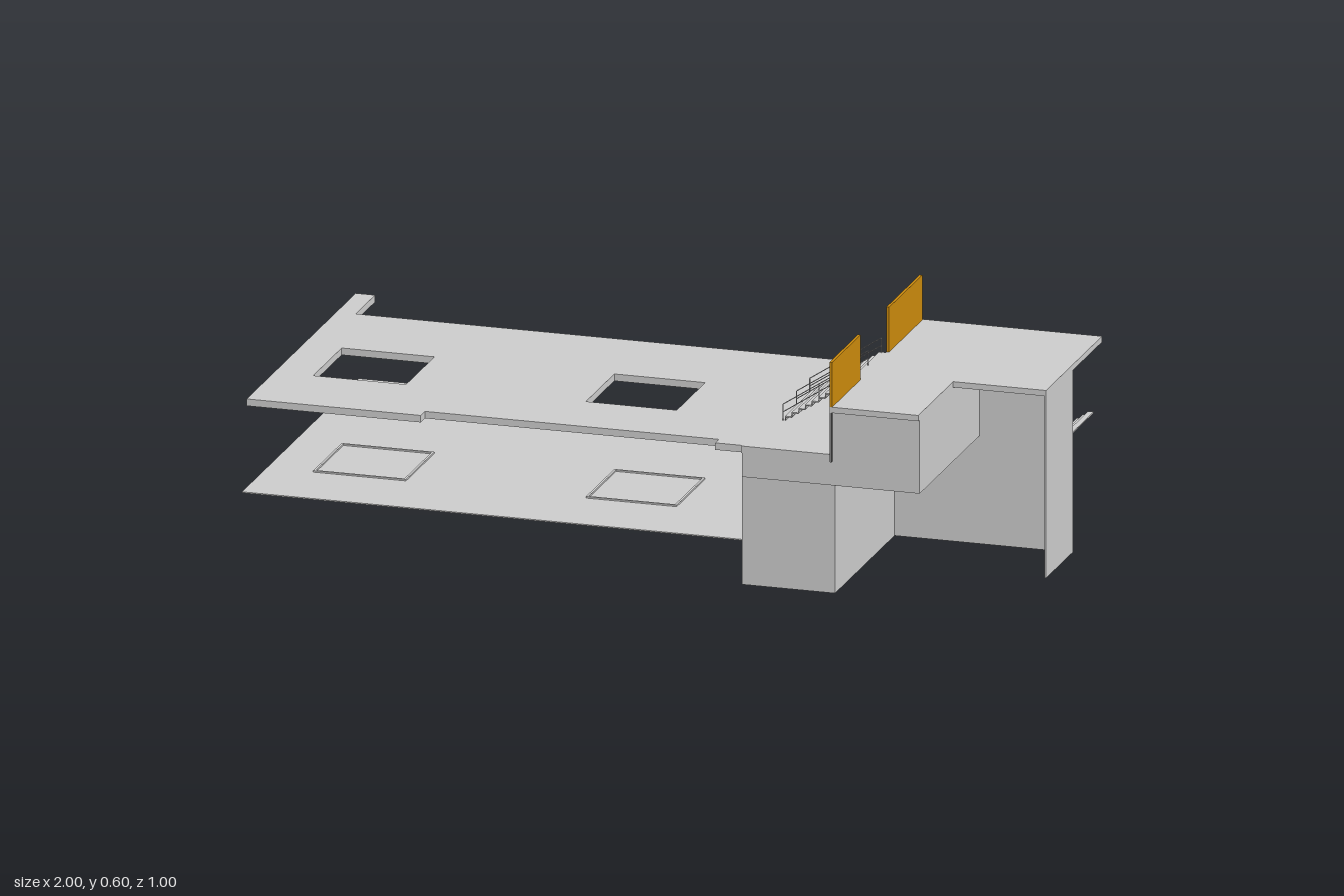
import * as THREE from 'three';

export function createModel() {
  const model = new THREE.Group();
  const mat = (name, color) => {
    const m = new THREE.MeshStandardMaterial({ color, side: THREE.DoubleSide });
    m.name = name;
    return m;
  };
  const concrete = mat('light grey', 0xcccccc);
  const darkGrey = mat('dark grey', 0x828282);
  const ochre = mat('ochre', 0xcb8a0c);

  const add = (name, geometry, material, parent = model) => {
    const mesh = new THREE.Mesh(geometry, material);
    mesh.name = name;
    parent.add(mesh);
    return mesh;
  };
  // Box given by its lower and upper limits on each axis
  const box = (name, [x0, x1], [y0, y1], [z0, z1], material = concrete, parent = model) => {
    const mesh = add(name, new THREE.BoxGeometry(x1 - x0, y1 - y0, z1 - z0), material, parent);
    mesh.position.set((x0 + x1) / 2, (y0 + y1) / 2, (z0 + z1) / 2);
    return mesh;
  };
  // Horizontal slab from a plan outline of [x, z] corners
  const slab = (name, outline, y0, y1, holes = []) => {
    const pts = (list) => list.map(([x, z]) => new THREE.Vector2(x, -z));
    const shape = new THREE.Shape(pts(outline));
    for (const h of holes) shape.holes.push(new THREE.Path(pts(h)));
    const geo = new THREE.ExtrudeGeometry(shape, { depth: y1 - y0, bevelEnabled: false });
    geo.rotateX(-Math.PI / 2).translate(0, y0, 0);
    return add(name, geo, concrete);
  };
  const rect = (x0, x1, z0, z1) => [[x0, z0], [x1, z0], [x1, z1], [x0, z1]];

  // Floors
  const wells = [[-0.88, -0.64, 0.025, 0.26], [-0.175, 0.06, 0.025, 0.26]];
  slab('lowerFloor', [
    [-1, -0.5], [-0.64, -0.5], [-0.64, -0.3], [-0.43, -0.3], [-0.43, -0.25], [0.31, -0.25],
    [0.31, -0.3], [0.55, -0.3], [0.55, -0.27], [0.76, -0.27], [0.76, -0.01], [0.54, -0.01],
    [0.54, 0.465], [-1, 0.465],
  ], 0.107, 0.11);
  slab('middleFloor', [
    [-0.98, -0.41], [-0.93, -0.41], [-0.93, -0.25], [0.53, -0.25], [0.53, 0.49], [0.3, 0.49],
    [0.3, 0.485], [0.23, 0.485], [0.23, 0.455], [-0.53, 0.455], [-0.53, 0.49], [-0.98, 0.49],
  ], 0.342, 0.36, wells.map((w) => rect(...w)));
  slab('upperDeck', [
    [0.53, -0.25], [1, -0.25], [1, 0.212], [0.76, 0.212], [0.76, 0.5], [0.53, 0.5],
  ], 0.471, 0.486);

  // Thin frames on the lower floor beneath the wells
  for (const [x0, x1, z0, z1] of wells) {
    const t = 0.006;
    slab('floorFrame', rect(x0, x1, z0, z1), 0.11, 0.114, [rect(x0 + t, x1 - t, z0 + t, z1 - t)]);
  }

  // Walls of the end block
  const w = 0.004;
  box('lowerFrontWall', [0.3, 0.54], [0, 0.28], [0.481, 0.485]);
  box('lowerInnerWall', [0.54 - w, 0.54], [0, 0.342], [-0.01, 0.485]);
  box('rearWall', [0.54, 1], [0, 0.471], [-0.01, -0.006]);
  box('endWall', [1 - w, 1], [0, 0.471], [-0.01, 0.212]);
  box('middleFrontWall', [0.3, 0.54], [0.28, 0.342], [0.485, 0.489]);
  box('upperFrontWall', [0.53, 0.76], [0.28, 0.471], [0.485, 0.489]);
  box('upperSideWall', [0.76 - w, 0.76], [0.28, 0.471], [-0.01, 0.489]);
  box('overhangFloor', [0.54, 0.76], [0.28, 0.284], [-0.01, 0.489]);
  box('darkRiserWall', [0.53, 0.534], [0.342, 0.471], [-0.245, 0.497], darkGrey);

  // Coloured screens at the deck edge
  for (const z of [[-0.245, 0.03], [0.265, 0.5]]) {
    box('deckScreen', [0.53, 0.537], [0.486, 0.602], z, ochre);
  }

  // Flights of open treads with risers, climbing toward +x
  const stairs = (name, [x0, x1], [y0, y1], z, count) => {
    const flight = new THREE.Group();
    flight.name = name;
    const run = (x1 - x0) / count, rise = (y1 - y0) / count;
    for (let i = 0; i < count; i++) {
      const x = x0 + i * run, y = y0 + i * rise;
      box('tread', [x, x + run], [y + rise - 0.003, y + rise], z, concrete, flight);
      box('riser', [x, x + 0.002], [y, y + rise], z, concrete, flight);
    }
    model.add(flight);
  };
  stairs('lowerStairs', [0.72, 0.98], [0.11, 0.29], [-0.245, -0.012], 18);
  stairs('upperStairs', [0.34, 0.53], [0.36, 0.486], [0.035, 0.26], 11);

  // Three stair railings: sloping rails on thin posts
  const bar = (a, b, parent) => {
    const A = new THREE.Vector3(...a), B = new THREE.Vector3(...b);
    const mesh = add('railBar', new THREE.CylinderGeometry(0.0013, 0.0013, A.distanceTo(B), 6), concrete, parent);
    mesh.position.copy(A).lerp(B, 0.5);
    mesh.quaternion.setFromUnitVectors(new THREE.Vector3(0, 1, 0), B.sub(A).normalize());
  };
  for (const z of [0.04, 0.148, 0.26]) {
    const railing = new THREE.Group();
    railing.name = 'stairRailing';
    for (const h of [0.022, 0.042]) bar([0.335, 0.36 + h, z], [0.52, 0.482 + h, z], railing);
    for (let i = 0; i < 3; i++) {
      const x = 0.335 + i * 0.0925, y = 0.36 + i * 0.061;
      bar([x, y, z], [x, y + 0.042, z], railing);
    }
    model.add(railing);
  }

  return model;
}
